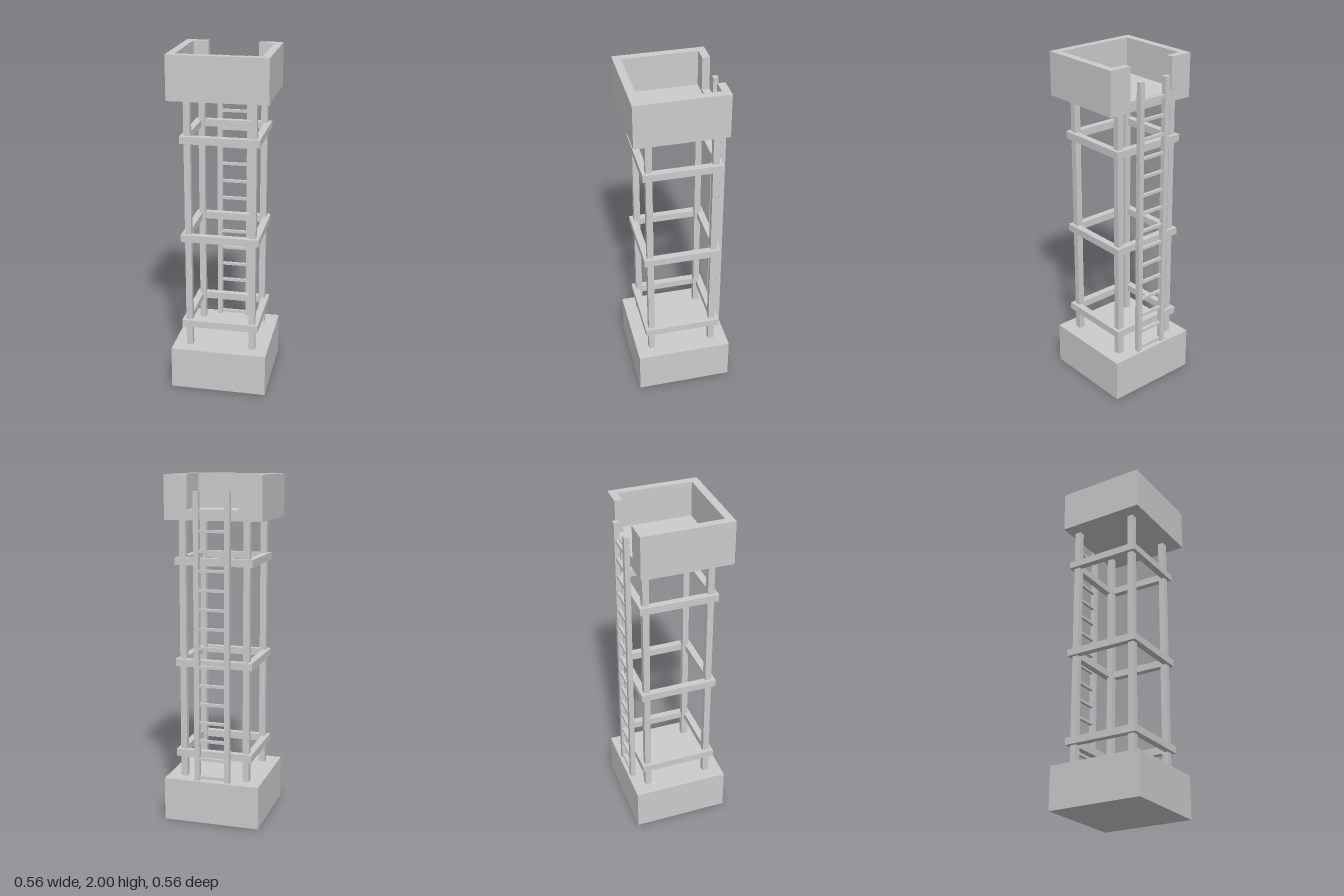
import * as THREE from 'three';

const material = new THREE.MeshStandardMaterial({ color: 0xcccccc, flatShading: true });

function addMesh(parent, name, geometry, x = 0, y = 0, z = 0) {
  const mesh = new THREE.Mesh(geometry, material);
  mesh.name = name;
  mesh.position.set(x, y, z);
  parent.add(mesh);
  return mesh;
}

// Box given by its lower and upper limits on each axis
function addBox(parent, name, [x0, x1], [y0, y1], [z0, z1]) {
  const geometry = new THREE.BoxGeometry(x1 - x0, y1 - y0, z1 - z0);
  return addMesh(parent, name, geometry, (x0 + x1) / 2, (y0 + y1) / 2, (z0 + z1) / 2);
}

function addGroup(parent, name) {
  const group = new THREE.Group();
  group.name = name;
  parent.add(group);
  return group;
}

// Extrude a plan outline (x, z) upwards from height y
function extrudePlan(shape, height) {
  const geometry = new THREE.ExtrudeGeometry(shape, { depth: height, bevelEnabled: false });
  return geometry.rotateX(-Math.PI / 2); // shape y becomes -z
}

function outline(points) {
  return new THREE.Shape(points.map(([x, z]) => new THREE.Vector2(x, -z)));
}

function square(r) {
  return [[-r, r], [r, r], [r, -r], [-r, -r]];
}

export function createModel() {
  const tower = new THREE.Group();
  tower.name = 'watchtower';

  // Solid foundation block
  addBox(tower, 'base', [-0.282, 0.282], [0, 0.252], [-0.282, 0.282]);

  // Four corner legs
  const legs = addGroup(tower, 'legs');
  for (const sx of [-1, 1]) {
    for (const sz of [-1, 1]) {
      addMesh(legs, 'leg', new THREE.BoxGeometry(0.037, 1.5, 0.037), sx * 0.187, 1.0, sz * 0.187);
    }
  }

  // Square bracing frames around the legs
  const frames = addGroup(tower, 'braceFrames');
  for (const y of [0.377, 0.917, 1.499]) {
    const shape = outline(square(0.226));
    shape.holes.push(outline(square(0.186)));
    addMesh(frames, 'braceFrame', extrudePlan(shape, 0.042), 0, y, 0);
  }

  // Lookout: floor, parapet with an entry gap at the back, low sill in the gap
  const lookout = addGroup(tower, 'lookout');
  const outer = 0.282, inner = 0.236, back = -0.237, backInner = -0.193, gap = 0.148;
  const floorTop = 1.795;
  addBox(lookout, 'floor', [-outer, outer], [1.75, floorTop], [back, outer]);
  const parapet = outline([
    [-gap, back], [-outer, back], [-outer, outer], [outer, outer], [outer, back], [gap, back],
    [gap, backInner], [inner, backInner], [inner, inner], [-inner, inner], [-inner, backInner], [-gap, backInner],
  ]);
  addMesh(lookout, 'parapet', extrudePlan(parapet, 2 - floorTop), 0, floorTop, 0);
  addBox(lookout, 'sill', [-gap, gap], [floorTop, 1.81], [back, backInner]);

  // Ladder up the back
  const ladder = addGroup(tower, 'ladder');
  ladder.position.set(-0.001, 0, -0.252);
  for (const side of [-1, 1]) {
    addMesh(ladder, 'ladderRail', new THREE.BoxGeometry(0.03, 1.658, 0.03), side * 0.0895, 1.081, 0);
  }
  for (let i = 0; i < 15; i++) {
    addMesh(ladder, 'rung', new THREE.BoxGeometry(0.15, 0.016, 0.018), 0, 0.27 + i * 0.1095, 0);
  }

  return tower;
}
